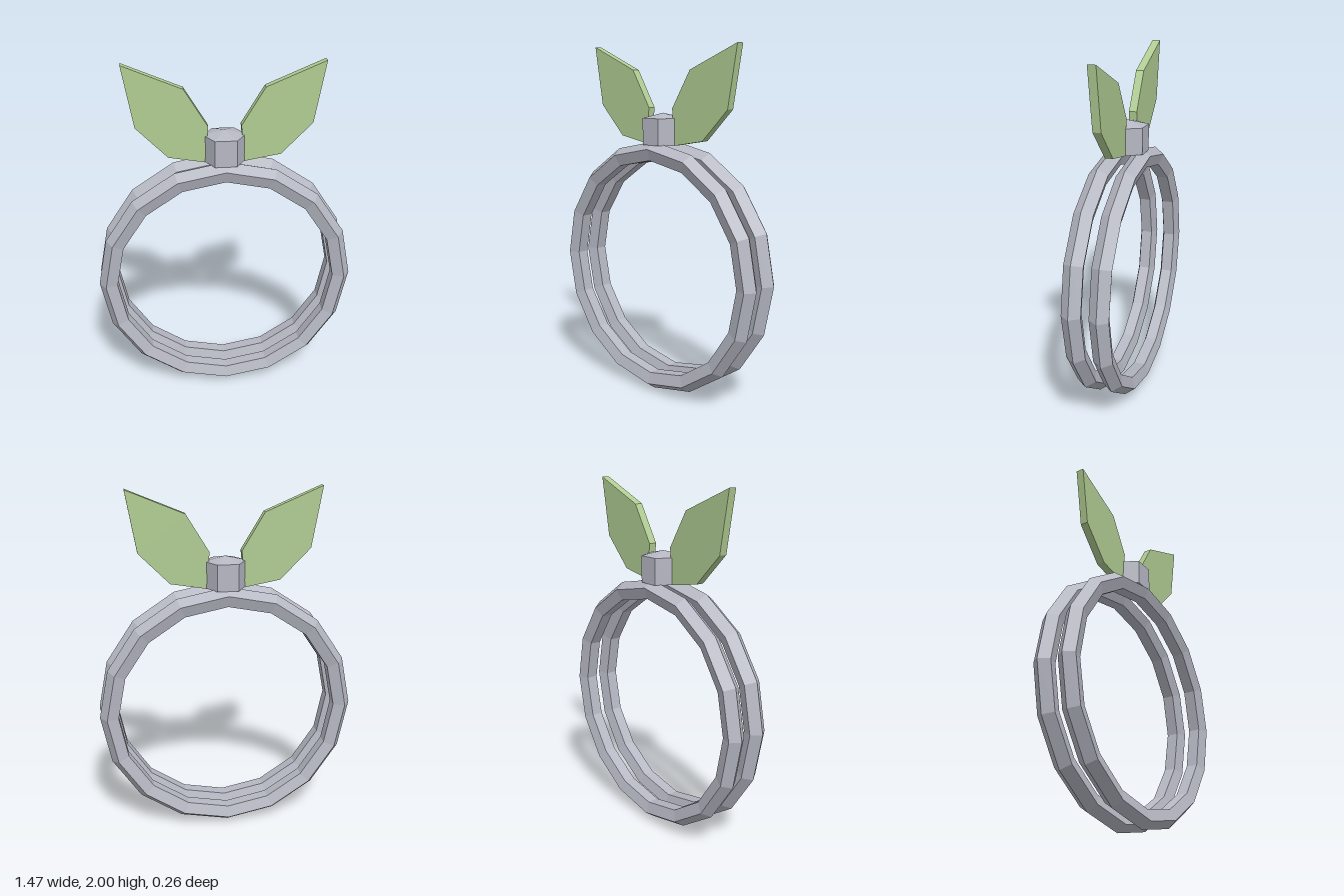
import * as THREE from 'three';

export function createModel() {
  const model = new THREE.Group();
  const metal = new THREE.MeshStandardMaterial({ color: 0xb6b8c3, flatShading: true });
  metal.name = 'grey metal';
  const green = new THREE.MeshStandardMaterial({ color: 0xb0cc92, flatShading: true });
  green.name = 'leaf green';

  const add = (name, geometry, material) => {
    const mesh = new THREE.Mesh(geometry, material);
    mesh.name = name;
    model.add(mesh);
    return mesh;
  };

  // Two parallel hoops with five-sided sections
  for (const side of [1, -1]) {
    const hoop = add(side > 0 ? 'frontHoop' : 'backHoop', new THREE.TorusGeometry(0.677, 0.058, 5, 16), metal);
    hoop.position.set(0, 0.735, side * 0.077);
  }

  // Six-sided stud with a low pointed top
  const studProfile = [[0, 1.45], [0.12, 1.45], [0.12, 1.6], [0, 1.628]].map(([r, y]) => new THREE.Vector2(r, y));
  add('stud', new THREE.LatheGeometry(studProfile, 6, Math.PI / 2), metal);

  // Mirrored pair of angular leaves
  const outline = [[0.11, 1.45], [0.31, 1.485], [0.482, 1.66], [0.54, 2], [0.218, 1.865], [0.09, 1.655]];
  const thickness = 0.046;
  for (const side of [1, -1]) {
    const shape = new THREE.Shape(outline.map(([x, y]) => new THREE.Vector2(side * x, y)));
    const geometry = new THREE.ExtrudeGeometry(shape, { depth: thickness, bevelEnabled: false });
    geometry.translate(0, 0, -thickness / 2);
    add(side > 0 ? 'leftLeaf' : 'rightLeaf', geometry, green);
  }

  return model;
}
